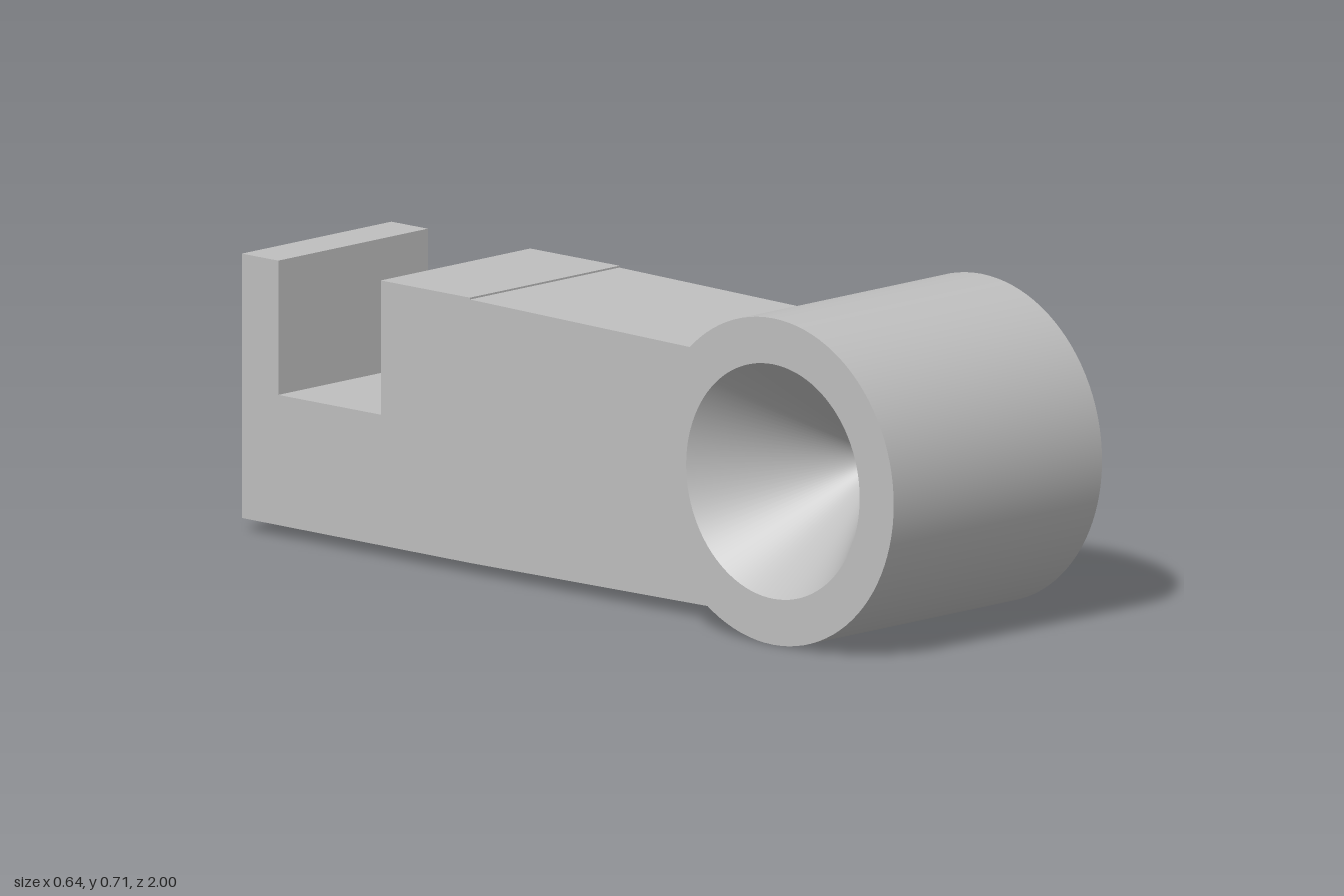
import * as THREE from 'three';
import { mergeGeometries } from 'three/addons/utils/BufferGeometryUtils.js';

const AXIS_Y = 0.355, AXIS_Z = 0.645;

// Crisp-edged lathe: each profile segment keeps its own smooth normals
function creasedLathe(profile, sides) {
  const bands = [];
  for (let i = 0; i < profile.length - 1; i++) {
    const ends = [profile[i], profile[i + 1]].map(([r, y]) => new THREE.Vector2(r, y));
    bands.push(new THREE.LatheGeometry(ends, sides));
  }
  return mergeGeometries(bands);
}

export function createModel() {
  const model = new THREE.Group();
  model.name = 'pivotArm';
  const grey = new THREE.MeshStandardMaterial({ color: 0xbfbfbf });
  grey.name = 'grey';

  // Barrel with a conical recess in each end
  const R = 0.355, half = 0.322, rim = 0.255, tip = 0.033, floor = 0.02;
  const upper = [[R, half], [rim, half], [tip, floor], [0, floor]];
  const lower = upper.map(([r, y]) => [r, -y]).reverse();
  const barrel = new THREE.Mesh(creasedLathe([...lower, ...upper], 96), grey);
  barrel.name = 'barrel';
  barrel.rotation.z = Math.PI / 2;
  barrel.position.set(0, AXIS_Y, AXIS_Z);
  model.add(barrel);

  // Arm side profile (z, y): slightly sloped, notched near the back,
  // with a curved front end tucked just inside the barrel wall
  const side = new THREE.Shape();
  const outline = [
    [0.53, 0.016], [0.395, 0.588], [-0.33, 0.598], [-0.33, 0.602], [-0.592, 0.602],
    [-0.592, 0.31], [-0.893, 0.31], [-0.893, 0.602], [-1, 0.602], [-1, 0.027], [-0.33, 0.025],
  ];
  side.moveTo(...outline[0]);
  const r = 0.34;
  const a0 = Math.atan2(-0.323, -0.108), a1 = Math.atan2(0.231, -0.25);
  side.absarc(AXIS_Z, AXIS_Y, r, a0, a1, true);
  for (const p of outline.slice(2)) side.lineTo(...p);
  side.closePath();

  const width = 0.462;
  const armGeometry = new THREE.ExtrudeGeometry(side, { depth: width, bevelEnabled: false, curveSegments: 24 });
  armGeometry.rotateY(-Math.PI / 2);
  armGeometry.translate(width / 2 - 0.002, 0, 0);
  const arm = new THREE.Mesh(armGeometry, grey);
  arm.name = 'notchedArm';
  model.add(arm);

  return model;
}
